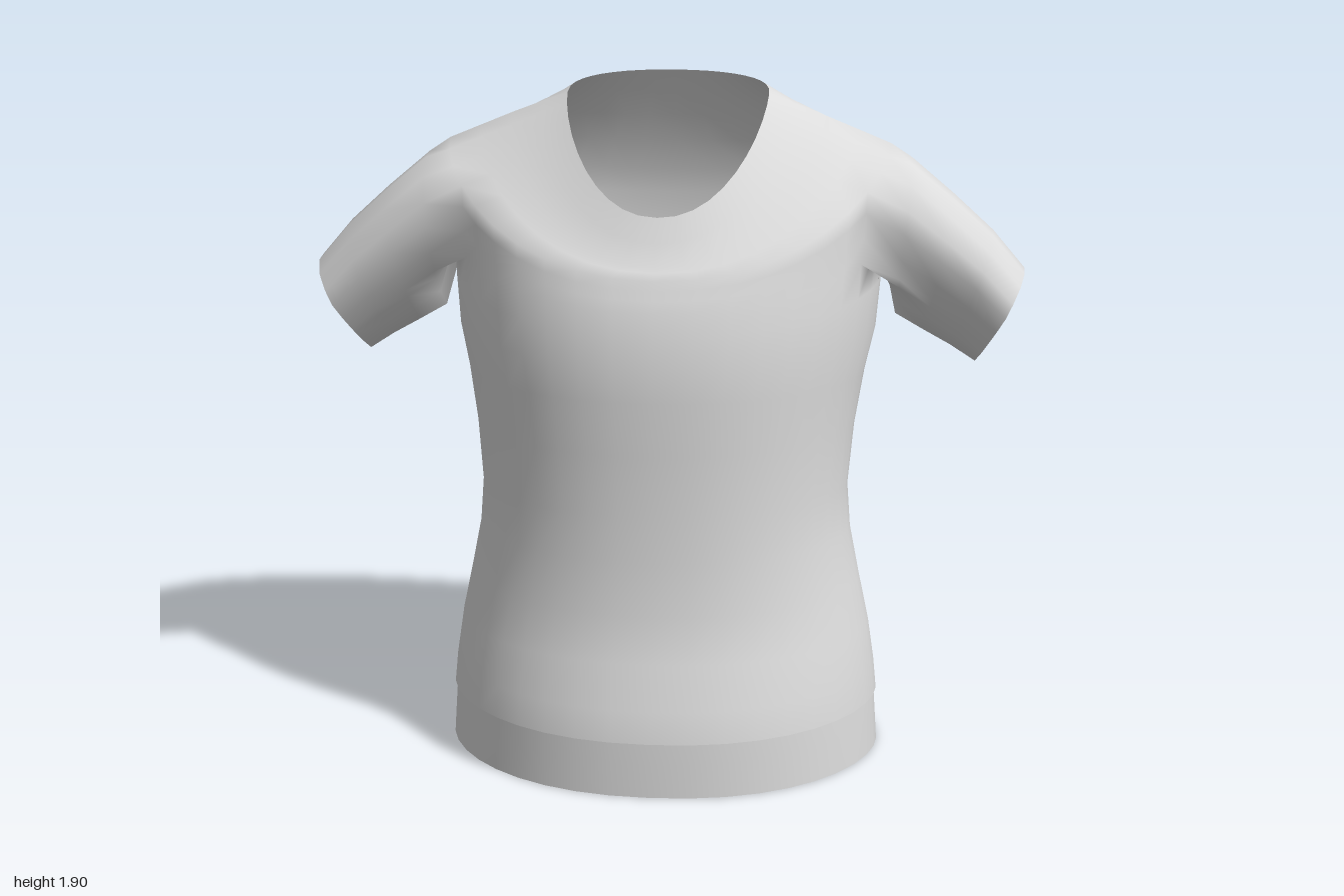
import * as THREE from 'three';

const N = 40; // columns around the torso: 0 = front, 10 = left side, 20 = back, 30 = right side

// One torso ring: half width, front z, back z, side z, back roundness (low = flat and broad),
// then heights at front, side and back
function ring([w, zf, zb, zc, round, yf, ys = yf, yb = yf]) {
  const points = [];
  for (let i = 0; i < N; i++) {
    const t = (i / N) * Math.PI * 2;
    const s = Math.sin(t), c = Math.cos(t), a = Math.abs(c) < 1e-6 ? 0 : Math.abs(c);
    const x = w * Math.sign(s) * Math.pow(Math.abs(s), 0.92);
    const z = zc + (c > 0 ? (zf - zc) * Math.pow(a, 1.12) : (zb - zc) * Math.pow(a, round));
    const y = ys + (c > 0 ? (yf - ys) * Math.pow(a, 1.35) : (yb - ys) * Math.pow(a, 0.65));
    points.push([x, y, z]);
  }
  return points;
}

// Joins ring j to ring j + 1, leaving out the columns for which skip is true
function joinRings(index, rows, skip = () => false) {
  for (let j = 0; j < rows - 1; j++) {
    for (let i = 0; i < N; i++) {
      if (skip(j, i)) continue;
      const k = (i + 1) % N;
      const a = j * N + i, b = j * N + k, c = a + N, d = b + N;
      index.push(a, b, d, a, d, c);
    }
  }
}

function makeGeometry(points, index) {
  const geometry = new THREE.BufferGeometry();
  geometry.setAttribute('position', new THREE.Float32BufferAttribute(points.flat(), 3));
  geometry.setIndex(index);
  geometry.computeVertexNormals();
  return geometry;
}

// Torso from above the hem to the neckline
const TORSO = [
  [0.615, 0.474, -0.432, 0, 0.85, 0.16],
  [0.606, 0.462, -0.425, 0, 0.85, 0.25],
  [0.588, 0.42, -0.41, 0, 0.85, 0.37],
  [0.56, 0.395, -0.405, 0, 0.85, 0.5],
  [0.53, 0.385, -0.415, 0, 0.85, 0.65],
  [0.52, 0.38, -0.425, 0, 0.82, 0.78],
  [0.535, 0.38, -0.445, -0.02, 0.75, 0.95],
  [0.56, 0.385, -0.46, -0.05, 0.66, 1.1],
  [0.588, 0.38, -0.468, -0.08, 0.58, 1.2, 1.22, 1.21],
  [0.6, 0.367, -0.472, -0.1, 0.5, 1.28, 1.36, 1.3],
  [0.606, 0.352, -0.472, -0.12, 0.45, 1.34, 1.47, 1.38], // armpit
  [0.612, 0.34, -0.47, -0.13, 0.43, 1.37, 1.56, 1.45],
  [0.618, 0.33, -0.465, -0.14, 0.43, 1.395, 1.65, 1.52],
  [0.62, 0.32, -0.452, -0.14, 0.44, 1.42, 1.725, 1.59], // shoulder
  [0.53, 0.31, -0.422, -0.14, 0.5, 1.44, 1.762, 1.68],
  [0.44, 0.293, -0.387, -0.13, 0.58, 1.45, 1.8, 1.76], // collar seam
  [0.35, 0.262, -0.35, -0.12, 0.7, 1.51, 1.835, 1.835],
  [0.28, 0.23, -0.31, -0.1, 0.85, 1.575, 1.862, 1.9],
];
const ARM_BOTTOM = 10, ARM_TOP = 13, ARM_HALF = 3;

// Sleeve rings: top x, top y, bottom x, bottom y, centre z, half depth, narrowing underneath
const SLEEVE = [
  [0.68, 1.685, 0.642, 1.235, -0.145, 0.195, 0.2],
  [0.8, 1.585, 0.72, 1.19, -0.142, 0.18, 0.3],
  [0.91, 1.485, 0.8, 1.145, -0.143, 0.165, 0.4],
  [1.0, 1.38, 0.87, 1.1, -0.14, 0.155, 0.5],
];

function createShirt() {
  const points = TORSO.flatMap(ring);
  const index = [];
  const inArmhole = (j, i) => j >= ARM_BOTTOM && j < ARM_TOP &&
    [10, 30].some((side) => i >= side - ARM_HALF && i < side + ARM_HALF);
  joinRings(index, TORSO.length, inArmhole);

  // Each sleeve grows out of the edge of its armhole
  for (const side of [10, 30]) {
    const sign = side === 10 ? 1 : -1;
    const first = side - ARM_HALF, last = side + ARM_HALF;
    let loop = [];
    for (let i = first; i < last; i++) loop.push(ARM_BOTTOM * N + i);
    for (let j = ARM_BOTTOM; j < ARM_TOP; j++) loop.push(j * N + last);
    for (let i = last; i > first; i--) loop.push(ARM_TOP * N + i);
    for (let j = ARM_TOP; j > ARM_BOTTOM; j--) loop.push(j * N + first);
    const angles = loop.map((v) => Math.atan2(points[v][2] + 0.14, points[v][1] - 1.56));

    for (const [tx, ty, bx, by, zc, depth, taper] of SLEEVE) {
      const next = angles.map((angle) => {
        const c = Math.cos(angle);
        const f = Math.pow((1 - c) / 2, 1.25);
        const narrow = c < 0 ? 1 + taper * c : 1;
        points.push([
          sign * (tx + (bx - tx) * f),
          ty + (by - ty) * f,
          zc - 0.03 * f + depth * Math.sin(angle) * narrow,
        ]);
        return points.length - 1;
      });
      loop.forEach((v, k) => {
        const m = (k + 1) % loop.length;
        index.push(v, loop[m], next[m], v, next[m], next[k]);
      });
      loop = next;
    }
  }
  return makeGeometry(points, index);
}

// Hem band tucked just inside the lower edge of the shirt
function createHem() {
  const rows = [
    [0.62, 0.469, -0.438, 0, 0.85, 0],
    [0.613, 0.47, -0.43, 0, 0.85, 0.1],
    [0.607, 0.467, -0.424, 0, 0.85, 0.18],
  ];
  const index = [];
  joinRings(index, rows.length);
  return makeGeometry(rows.flatMap(ring), index);
}

export function createModel() {
  const group = new THREE.Group();
  group.name = 'shortSleevedShirt';
  const fabric = new THREE.MeshStandardMaterial({ color: 0xdcdcdc, side: THREE.DoubleSide });
  fabric.name = 'light grey fabric';

  const shirt = new THREE.Mesh(createShirt(), fabric);
  shirt.name = 'torsoAndSleeves';
  const hem = new THREE.Mesh(createHem(), fabric);
  hem.name = 'hemBand';
  group.add(shirt, hem);
  return group;
}
